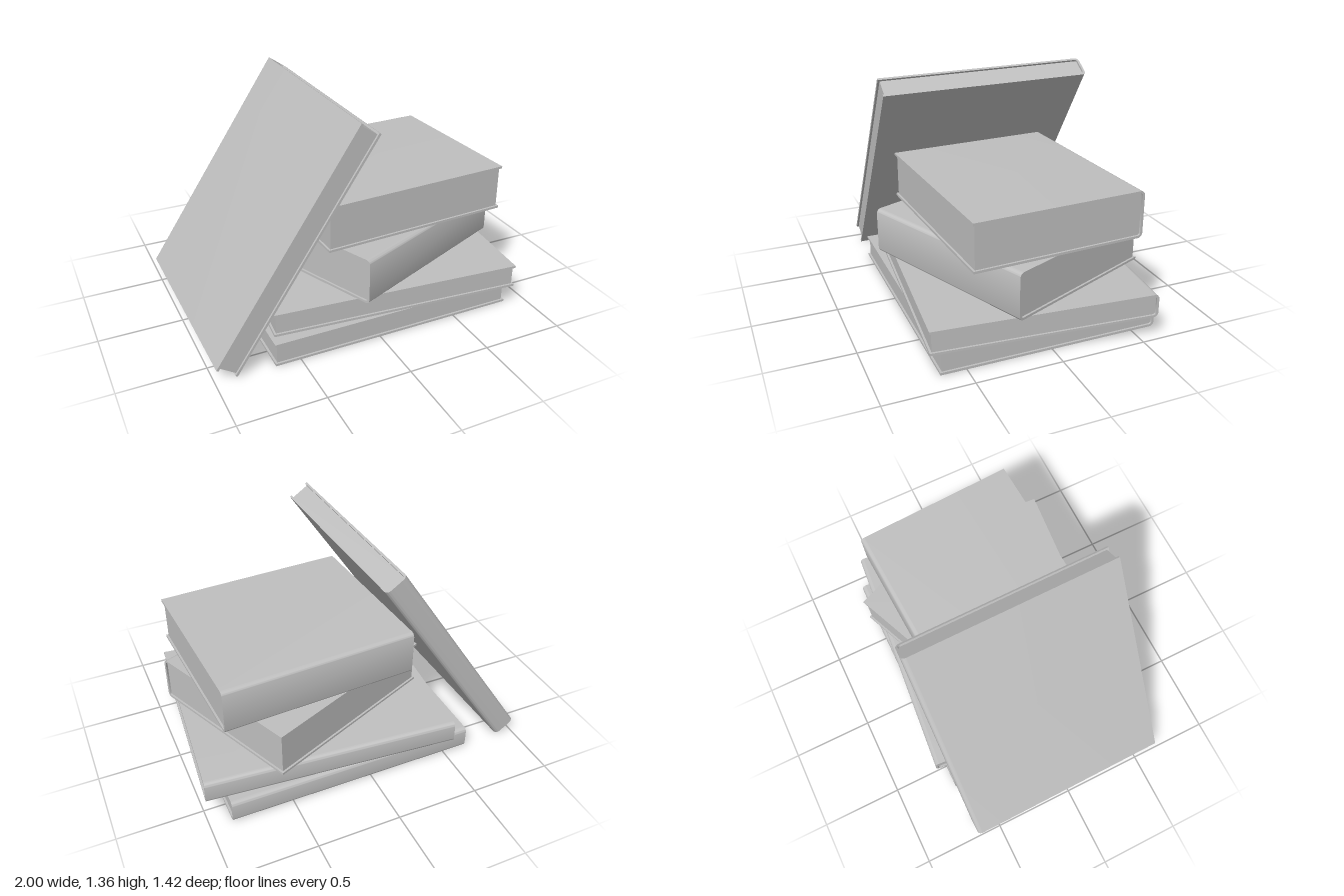
import * as THREE from 'three';
import { toCreasedNormals } from 'three/addons/utils/BufferGeometryUtils.js';

const COVER = 0.014; // board thickness
const INSET = 0.012; // how far the pages sit back from the board edges
const ROUND = 0.028; // rounding of the spine edges

const paper = new THREE.MeshStandardMaterial({ color: 0xbfbfbf });
paper.name = 'plainGrey';

// C-shaped cover: two boards joined by a spine with rounded edges (spine at local -z)
function coverGeometry(length, height, depth) {
  const d = depth / 2, h = height / 2, r = ROUND, t = COVER, ri = r - t;
  const s = new THREE.Shape();
  s.moveTo(-d, -h);
  s.lineTo(d - r, -h);
  s.absarc(d - r, -h + r, r, -Math.PI / 2, 0, false);
  s.lineTo(d, h - r);
  s.absarc(d - r, h - r, r, 0, Math.PI / 2, false);
  s.lineTo(-d, h);
  s.lineTo(-d, h - t);
  s.lineTo(d - r, h - t);
  s.absarc(d - r, h - r, ri, Math.PI / 2, 0, true);
  s.lineTo(d - t, -h + r);
  s.absarc(d - r, -h + r, ri, 0, -Math.PI / 2, true);
  s.lineTo(-d, -h + t);
  s.closePath();
  const geo = new THREE.ExtrudeGeometry(s, { depth: length, bevelEnabled: false, curveSegments: 5 });
  geo.translate(0, 0, -length / 2);
  geo.rotateY(Math.PI / 2);
  return toCreasedNormals(geo, 0.5);
}

// A book lying flat, centred on its own origin
function makeBook(name, [length, height, depth], position, rotation) {
  const book = new THREE.Group();
  book.name = name;

  const cover = new THREE.Mesh(coverGeometry(length, height, depth), paper);
  cover.name = name + 'Cover';

  const pageDepth = depth - INSET - COVER * 0.8;
  const pages = new THREE.Mesh(
    new THREE.BoxGeometry(length - INSET * 2, height - COVER * 1.8, pageDepth), paper);
  pages.name = name + 'Pages';
  pages.position.z = (COVER * 0.8 - INSET) / 2;

  book.add(cover, pages);
  book.position.set(...position);
  book.rotation.set(...rotation, 'ZYX');
  return book;
}

export function createModel() {
  const model = new THREE.Group();
  model.name = 'bookStack';

  const large = [1.52, 0.14, 1.295];
  const thick = [1.172, 0.277, 1.015];

  model.add(
    // two large thin books at the bottom
    makeBook('bottomBook', large, [0.11, 0.07, 0], [0, 0, 0]),
    makeBook('secondBook', large, [0.185, 0.212, -0.003], [0, -0.085, 0]),
    // two thick books on top, the lower one with its spine to the front
    makeBook('thirdBook', thick, [0.235, 0.423, 0.007], [0, 0.4 + Math.PI, 0]),
    makeBook('topBook', thick, [0.285, 0.705, -0.006], [0, 0.055, 0]),
    // large book leaning against the stack
    makeBook('leaningBook', large, [-0.515, 0.68, 0], [0.0125, 0, 0.983])
  );
  return model;
}
